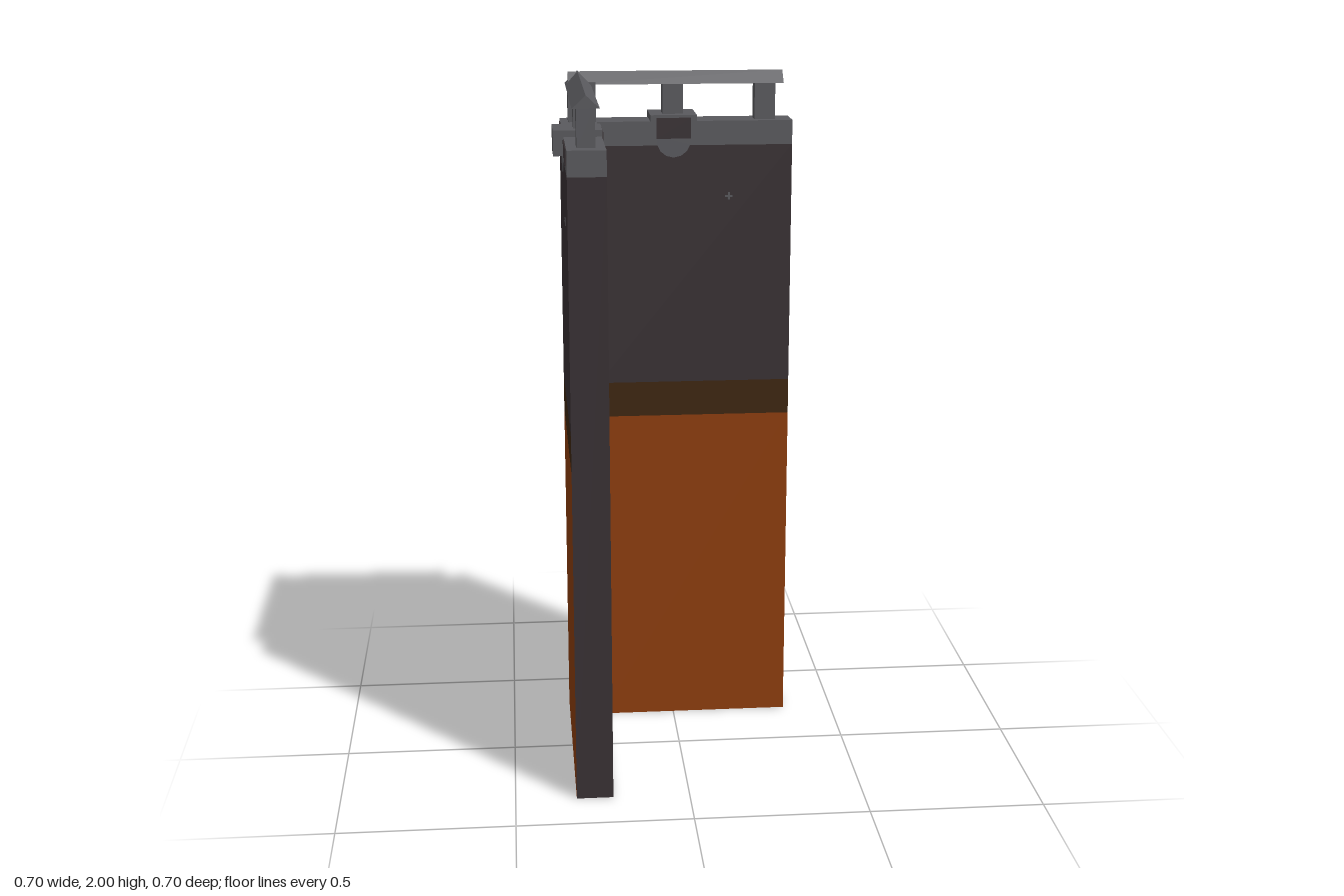
import * as THREE from 'three';

export function createModel() {
  const model = new THREE.Group();
  const mat = (name, color) => {
    const m = new THREE.MeshStandardMaterial({ color, side: THREE.DoubleSide });
    m.name = name;
    return m;
  };
  const orange = mat('rust orange', 0x8f3e0d);
  const brown = mat('dark brown', 0x3f260e);
  const dark = mat('dark stone', 0x393134);
  const grey = mat('grey metal', 0x5a5a5e);

  const add = (name, geometry, material, parent = model) => {
    const mesh = new THREE.Mesh(geometry, material);
    mesh.name = name;
    parent.add(mesh);
    return mesh;
  };

  // L-shaped plan of the hollow corner wall, as [x, z]
  const OUT = -0.325, IN = -0.22, END = 0.35;
  const plan = [[OUT, OUT], [OUT, END], [IN, END], [IN, IN], [END, IN], [END, OUT]];
  const WALL_TOP = 1.79, CAP_TOP = 1.86;

  // Upright wall panels; the two narrow ends are dark all the way down
  const panel = (name, a, b, y0, y1, material) => {
    const dx = b[0] - a[0], dz = b[1] - a[1];
    const mesh = add(name, new THREE.PlaneGeometry(Math.hypot(dx, dz), y1 - y0), material);
    mesh.position.set((a[0] + b[0]) / 2, (y0 + y1) / 2, (a[1] + b[1]) / 2);
    mesh.rotation.y = Math.atan2(-dz, dx);
  };
  plan.forEach((a, i) => {
    const b = plan[(i + 1) % plan.length];
    if (i === 1 || i === 4) {
      panel('wallEnd', a, b, 0, WALL_TOP, dark);
    } else {
      panel('lowerWall', a, b, 0, 0.975, orange);
      panel('wallBand', a, b, 0.975, 1.08, brown);
      panel('upperWall', a, b, 1.08, WALL_TOP, dark);
    }
  });

  // Grey coping along the top of the wall
  const shape = new THREE.Shape(plan.map(([x, z]) => new THREE.Vector2(x, -z)));
  const cap = new THREE.ExtrudeGeometry(shape, { depth: CAP_TOP - WALL_TOP, bevelEnabled: false });
  cap.rotateX(-Math.PI / 2);
  cap.translate(0, WALL_TOP, 0);
  add('coping', cap, grey);

  // Ridged handrail profile
  const RAIL = -0.272;
  const ridge = new THREE.Shape([
    new THREE.Vector2(-0.037, 1.965), new THREE.Vector2(0.037, 1.965), new THREE.Vector2(0, 2),
  ]);

  // Fittings of one wing: "along" runs down the wing, "across" through the wall
  function wing(name, swap, centre) {
    const g = new THREE.Group();
    g.name = name;
    model.add(g);
    const place = (mesh, along, y, across) => {
      mesh.position.set(swap ? across : along, y, swap ? along : across);
      if (swap) mesh.rotation.y = Math.PI / 2;
    };
    const box = (part, material, along, y, across, l, h, w) =>
      place(add(part, new THREE.BoxGeometry(l, h, w), material, g), along, y, across);
    const disc = (across) => {
      const geo = new THREE.CylinderGeometry(0.05, 0.05, 0.006, 14);
      geo.rotateX(Math.PI / 2);
      place(add('bracketRoundel', geo, grey, g), centre, 1.805, across);
    };

    // Bracket straddling the coping, with its recessed panel and roundels
    box('bracket', grey, centre, 1.843, -0.286, 0.135, 0.07, 0.136);
    box('bracketPanel', dark, centre, 1.84, -0.217, 0.1, 0.06, 0.004);
    disc(IN);
    disc(OUT);

    // Dark notches on the outer side of the coping
    for (const s of [-0.26, -0.14, 0.14, 0.26])
      box('copingNotch', dark, s + 0.01, 1.835, OUT - 0.001, 0.05, 0.045, 0.004);

    // Small chips in the upper wall
    for (const across of [IN, OUT]) {
      box('wallChip', grey, 0.165, 1.64, across, 0.022, 0.006, 0.004);
      box('wallChip', grey, 0.165, 1.64, across, 0.006, 0.022, 0.004);
    }

    // Posts and rail
    for (const along of [centre, 0.272])
      box('railPost', grey, along, 1.915, RAIL, 0.06, 0.115, 0.05);
    const rail = new THREE.ExtrudeGeometry(ridge, { depth: 0.625, bevelEnabled: false });
    rail.translate(0, 0, -0.3125);
    rail.rotateY(Math.PI / 2);
    place(add('handrail', rail, grey, g), 0.0125, 0, RAIL);
  }
  wing('backWing', false, 0.0025);
  wing('sideWing', true, 0.0225);

  // Thicker post where the rails meet
  const post = add('cornerPost', new THREE.BoxGeometry(0.08, 0.115, 0.08), grey);
  post.position.set(-0.262, 1.915, -0.262);

  return model;
}
